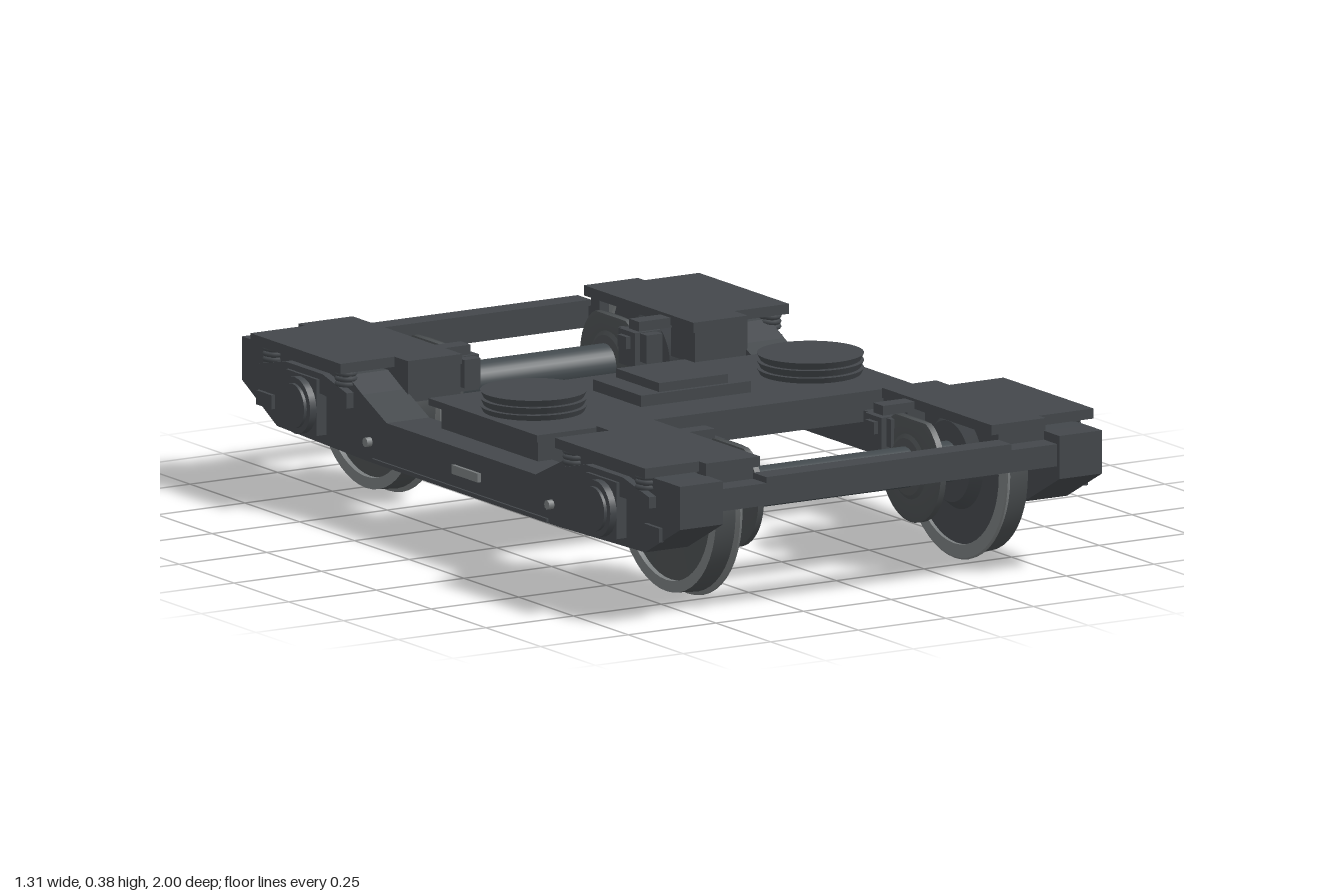
import * as THREE from 'three';
import { toCreasedNormals } from 'three/addons/utils/BufferGeometryUtils.js';

const mat = (name, color) => new THREE.MeshStandardMaterial({ name, color });

export function createModel() {
  const frameGrey = mat('frame grey', 0x43474b);
  const steel = mat('axle steel', 0x42494d);
  const discGrey = mat('wheel grey', 0x4a4e50);
  const rimGrey = mat('bare rim', 0x777b7c);
  rimGrey.side = discGrey.side = THREE.DoubleSide;

  const AXLE_Y = 0.245, AXLE_Z = 0.685;
  const bogie = new THREE.Group();
  bogie.name = 'bogie';

  const add = (parent, name, geo, material, x = 0, y = 0, z = 0) => {
    const m = new THREE.Mesh(geo, material);
    m.name = name;
    m.position.set(x, y, z);
    parent.add(m);
    return m;
  };
  // box given by its limits
  const box = (parent, name, x0, x1, y0, y1, z0, z1, material = frameGrey) =>
    add(parent, name, new THREE.BoxGeometry(x1 - x0, y1 - y0, z1 - z0), material,
      (x0 + x1) / 2, (y0 + y1) / 2, (z0 + z1) / 2);
  // cylinder lying along x
  const rod = (parent, name, r, x0, x1, y, z, material = frameGrey, seg = 24) =>
    add(parent, name, new THREE.CylinderGeometry(r, r, x1 - x0, seg).rotateZ(-Math.PI / 2),
      material, (x0 + x1) / 2, y, z);
  // side outline in (z, y), extruded along x
  const sideShape = (parent, name, pts, x0, x1) => {
    const shape = new THREE.Shape(pts.map(([z, y]) => new THREE.Vector2(-z, y)));
    const geo = new THREE.ExtrudeGeometry(shape, { depth: x1 - x0, bevelEnabled: false });
    geo.rotateY(Math.PI / 2);
    return add(parent, name, geo, frameGrey, x0);
  };
  // turned part along x with sharp edges; its top is cut flat under the fender plate
  const turned = (parent, name, pts, material, z) => {
    const lathe = new THREE.LatheGeometry(pts.map(([r, x]) => new THREE.Vector2(r, x)), 48);
    const geo = toCreasedNormals(lathe.rotateZ(-Math.PI / 2), 0.4);
    const p = geo.attributes.position, top = 0.362 - AXLE_Y;
    for (let i = 0; i < p.count; i++) p.setY(i, Math.min(p.getY(i), top));
    return add(parent, name, geo, material, 0, AXLE_Y, z);
  };

  // side frames: cranked beams with raised ends
  const half = [[0.34, 0.26], [0.45, 0.31], [0.52, 0.345], [0.93, 0.352], [1, 0.352], [1, 0.245], [0.84, 0.16], [0.44, 0.15]];
  const outline = [...half, ...half.map(([z, y]) => [-z, y]).reverse()];

  for (const side of [1, -1]) {
    const flank = new THREE.Group();
    flank.name = side > 0 ? 'leftSide' : 'rightSide';
    // the right flank is the left one turned half round
    if (side < 0) flank.rotation.y = Math.PI;
    bogie.add(flank);
    sideShape(flank, 'sideFrame', outline, 0.48, 0.602);
    box(flank, 'sideRib', 0.6, 0.608, 0.152, 0.162, -0.4, 0.4);
    const plateZ = 0.03 * side;
    box(flank, 'makersPlate', 0.602, 0.611, 0.194, 0.216, plateZ - 0.06, plateZ + 0.06, rimGrey);

    for (const end of [1, -1]) {
      const c = end * AXLE_Z;
      const span = (name, x0, x1, y0, y1, za, zb, m) =>
        box(flank, name, x0, x1, y0, y1, Math.min(za * end, zb * end), Math.max(za * end, zb * end), m);
      const ordered = pts => pts.map(([z, y]) => [z * end, y]);

      // fender plates with boxes beneath
      span('fenderPlate', 0.33, 0.485, 0.358, 0.383, 0.43, 0.93);
      span('outerFender', 0.485, 0.64, 0.358, 0.383, 0.49, 0.9);
      span('fenderBox', 0.335, 0.485, 0.28, 0.36, 0.43, 0.54);
      span('fenderEnd', 0.35, 0.485, 0.28, 0.36, 0.89, 0.93);
      span('barBracket', 0.35, 0.49, 0.275, 0.33, 0.93, 0.985);

      // axle box and its cover
      span('axleBox', 0.59, 0.63, 0.18, 0.32, 0.615, 0.755);
      rod(flank, 'axleCover', 0.07, 0.62, 0.648, AXLE_Y, c);
      rod(flank, 'axleCap', 0.055, 0.648, 0.656, AXLE_Y, c);
      sideShape(flank, 'suspensionArm', ordered([[0.49, 0.308], [0.6, 0.335], [0.77, 0.335], [0.89, 0.308], [0.89, 0.28], [0.78, 0.285], [0.6, 0.285], [0.49, 0.27]]), 0.6, 0.622);
      span('lifeguard', 0.6, 0.612, 0.2, 0.235, 0.85, 0.92);
      rod(flank, 'bolt', 0.012, 0.6, 0.617, 0.2, 0.415 * end, rimGrey, 8);

      // coil springs either side of the axle box
      for (const dz of [-0.165, 0.165]) for (let i = 0; i < 3; i++)
        add(flank, 'springCoil', new THREE.TorusGeometry(0.022, 0.006, 6, 16).rotateX(Math.PI / 2),
          frameGrey, 0.605, 0.326 + i * 0.013, c + dz);

      // wheel: web, bright rims and flange, dark tread
      turned(flank, 'wheelWeb', [[0.05, 0.36], [0.1, 0.36], [0.12, 0.385], [0.205, 0.385]], frameGrey, c);
      turned(flank, 'wheelFace', [[0.2, 0.432], [0.11, 0.428], [0.09, 0.45], [0.04, 0.45]], discGrey, c);
      turned(flank, 'outerRim', [[0.228, 0.445], [0.2, 0.445], [0.2, 0.43]], rimGrey, c);
      turned(flank, 'innerRim', [[0.205, 0.387], [0.205, 0.376], [0.238, 0.376]], rimGrey, c);
      turned(flank, 'wheelFlange', [[0.238, 0.376], [0.242, 0.379], [0.241, 0.384], [0.232, 0.392]], rimGrey, c);
      turned(flank, 'wheelTread', [[0.232, 0.392], [0.228, 0.445]], discGrey, c);

      // solid tapered brake disc and its caliper
      turned(flank, 'brakeDisc', [[0.045, 0.238], [0.07, 0.24], [0.08, 0.246], [0.125, 0.247], [0.138, 0.252],
        [0.138, 0.268], [0.125, 0.273], [0.08, 0.274], [0.07, 0.28], [0.045, 0.282]], discGrey, c);
      span('caliper', 0.237, 0.283, 0.28, 0.35, 0.495, 0.62);
      span('caliperBody', 0.222, 0.298, 0.265, 0.352, 0.525, 0.6);
      span('caliperBridge', 0.21, 0.31, 0.31, 0.34, 0.545, 0.585);
      span('caliperTop', 0.24, 0.335, 0.352, 0.376, 0.535, 0.58);
    }

    // air spring with bellows ridges
    for (let i = 0; i < 3; i++)
      add(flank, 'airSpring', new THREE.CylinderGeometry(0.13, 0.122, 0.016, 40), frameGrey, 0.395, 0.338 + i * 0.0185);
    add(flank, 'airSpringCore', new THREE.CylinderGeometry(0.118, 0.118, 0.05, 32), frameGrey, 0.395, 0.353);
  }

  // axles and end bars
  for (const end of [1, -1]) {
    rod(bogie, 'axle', 0.05, -0.6, 0.6, AXLE_Y, end * AXLE_Z, steel, 32);
    box(bogie, 'endBar', -0.49, 0.49, 0.275, 0.33, end * 0.965 - 0.025, end * 0.965 + 0.025);
    box(bogie, 'endBarTop', -0.35, 0.35, 0.33, 0.345, end * 0.96 - 0.03, end * 0.96 + 0.03);
  }

  // bolster and centre pivot
  box(bogie, 'bolster', -0.52, 0.52, 0.25, 0.316, -0.22, 0.22);
  box(bogie, 'bolsterPlate', -0.54, 0.54, 0.315, 0.332, -0.248, 0.248);
  box(bogie, 'pivotBase', -0.157, 0.157, 0.33, 0.36, -0.11, 0.11);
  box(bogie, 'pivotBlock', -0.098, 0.098, 0.358, 0.382, -0.098, 0.098);
  return bogie;
}
